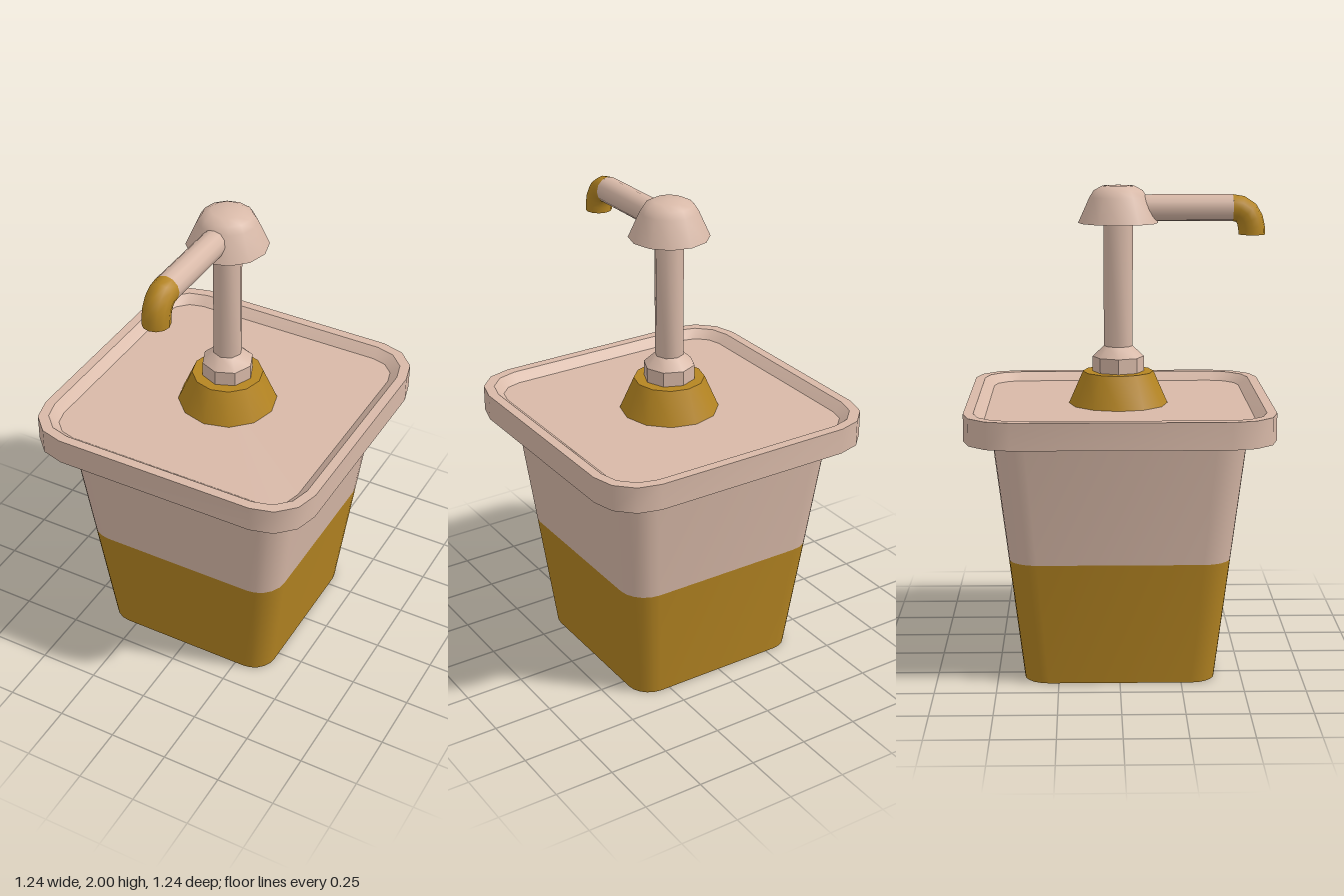
import * as THREE from 'three';
import { toCreasedNormals } from 'three/addons/utils/BufferGeometryUtils.js';

const plastic = new THREE.MeshStandardMaterial({ color: 0xd8b9a8 });
plastic.name = 'palePlastic';
const mustard = new THREE.MeshStandardMaterial({ color: 0xb58522 });
mustard.name = 'mustard';

// Rounded square outline, anticlockwise seen from above
function ring(half, radius, y, steps) {
  const pts = [];
  const c = half - radius;
  for (let q = 0; q < 4; q++) {
    const mid = (q + 0.5) * Math.PI / 2;
    const cx = Math.sign(Math.sin(mid)) * c, cz = Math.sign(Math.cos(mid)) * c;
    for (let i = 0; i <= steps; i++) {
      const a = (q + i / steps) * Math.PI / 2;
      pts.push([cx + radius * Math.sin(a), y, cz + radius * Math.cos(a)]);
    }
  }
  return pts;
}

// Skin a profile of [half width, corner radius, height] rows
function loft(rows, steps) {
  const rings = rows.map(([h, r, y]) => ring(h, r, y, steps));
  const n = rings[0].length;
  const index = [];
  for (let j = 0; j < rings.length - 1; j++) {
    for (let i = 0; i < n; i++) {
      const a = j * n + i, b = j * n + (i + 1) % n;
      // rows of zero width collapse to a point
      if (rows[j][0] > 0) index.push(a, b, b + n);
      if (rows[j + 1][0] > 0) index.push(a, b + n, a + n);
      else if (rows[j][0] === 0) continue;
    }
  }
  const g = new THREE.BufferGeometry();
  g.setAttribute('position', new THREE.Float32BufferAttribute(rings.flat(2), 3));
  g.setIndex(index);
  return toCreasedNormals(g, 0.6);
}

function lathe(profile, sides, crease) {
  const g = new THREE.LatheGeometry(profile.map(([r, y]) => new THREE.Vector2(r, y)), sides);
  return toCreasedNormals(g, crease);
}

export function createModel() {
  const model = new THREE.Group();
  model.name = 'pumpDispenser';
  const add = (name, geometry, material) => {
    const mesh = new THREE.Mesh(geometry, material);
    mesh.name = name;
    model.add(mesh);
    return mesh;
  };

  // Tapered tub: plain bottom, mustard lower half, pale upper half
  add('tubBottom', loft([[0, 0, 0], [0.39, 0.1, 0]], 5), plastic);
  add('tubLower', loft([[0.39, 0.1, 0], [0.45, 0.115, 0.515]], 5), mustard);
  add('tubUpper', loft([[0.45, 0.115, 0.515], [0.51, 0.13, 1.03]], 5), plastic);

  // Lid with raised rim and sunken top
  add('lid', loft([
    [0, 0, 1.02], [0.62, 0.19, 1.02], [0.62, 0.19, 1.13],
    [0.58, 0.16, 1.13], [0.54, 0.12, 1.095], [0, 0, 1.095],
  ], 3), plastic);

  // Pump base, collar and stem
  add('pumpBase', lathe([[0.206, 1.095], [0.147, 1.23], [0, 1.23]], 12, 0.6), mustard);
  add('collar', lathe([[0.107, 1.22], [0.107, 1.292], [0.06, 1.336], [0, 1.336]], 8, 0.6), plastic);
  add('stem', lathe([[0.06, 1.32], [0.06, 1.86]], 8, 0.9), plastic);

  // Domed press cap
  add('pressCap', lathe([
    [0, 1.845], [0.165, 1.845], [0.118, 1.95], [0.1, 1.978], [0.066, 1.996], [0, 2],
  ], 12, 0.7), plastic);

  // Spout reaching forward
  const spout = add('spout', new THREE.CylinderGeometry(0.055, 0.055, 0.42, 12), plastic);
  spout.rotation.x = Math.PI / 2;
  spout.position.set(0, 1.906, 0.26);

  // Elbow turning down, with its end face
  const bend = new THREE.QuadraticBezierCurve3(
    new THREE.Vector3(0, 1.906, 0.47),
    new THREE.Vector3(0, 1.906, 0.55),
    new THREE.Vector3(0, 1.797, 0.55),
  );
  add('nozzle', new THREE.TubeGeometry(bend, 5, 0.055, 12), mustard);
  const tip = add('nozzleEnd', new THREE.CircleGeometry(0.055, 12), plastic);
  tip.rotation.x = Math.PI / 2;
  tip.position.set(0, 1.797, 0.55);

  return model;
}
